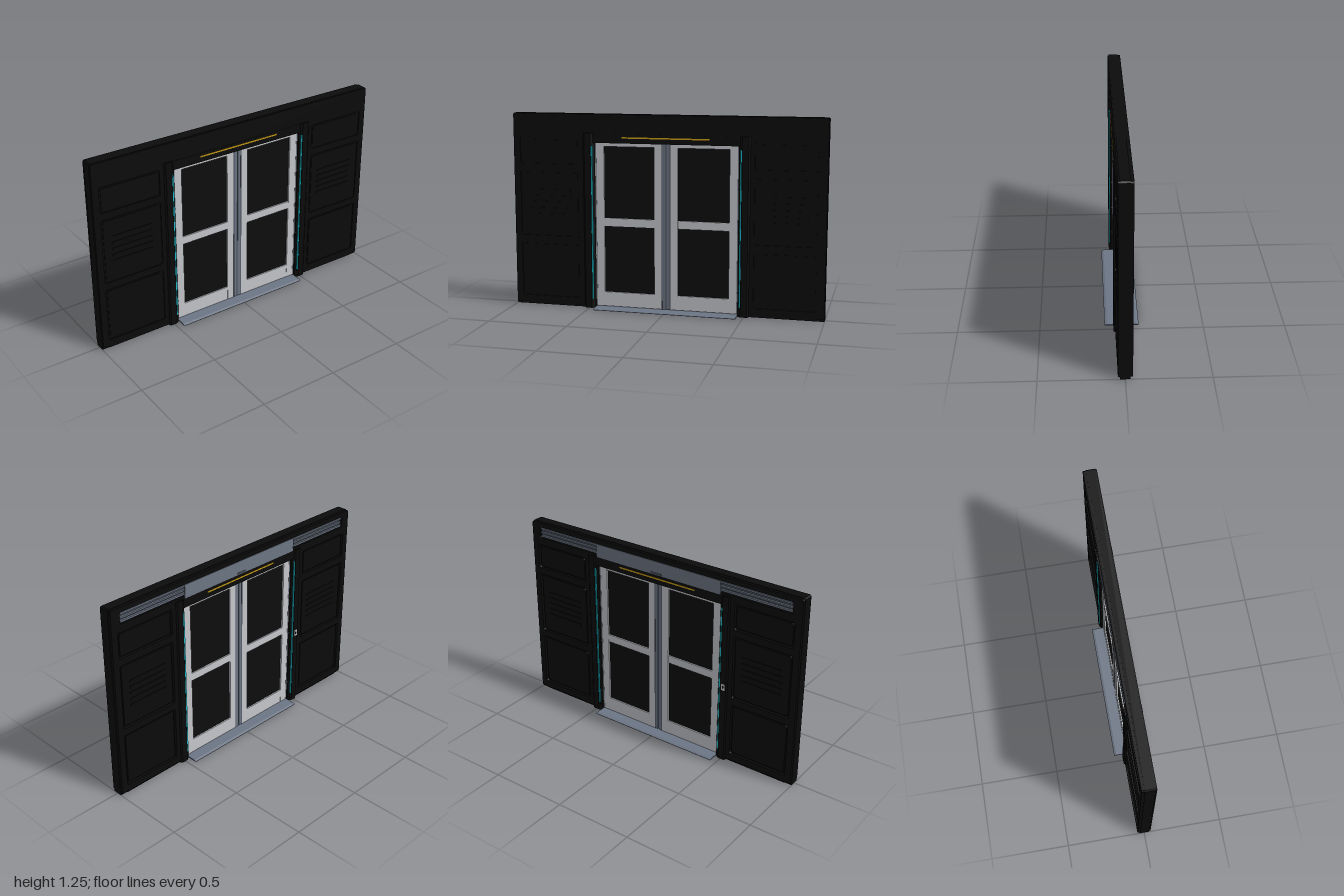
import * as THREE from 'three';

const mat = (name, color, side = THREE.FrontSide) => {
  const m = new THREE.MeshStandardMaterial({ color, side });
  m.name = name;
  return m;
};

export function createModel() {
  const root = new THREE.Group();
  root.name = 'slidingDoorWall';
  const black = mat('black wall', 0x0b0b0b);
  const glass = mat('dark glass', 0x0d0d0e);
  const silver = mat('silver frame', 0xc4c6ca);
  const slate = mat('slate metal', 0x6c7584);
  const darkSlate = mat('dark slate', 0x474d58);
  const cyan = mat('cyan light', 0x18bccb);
  const gold = mat('gold light', 0xcfa215);

  const add = (name, geo, m, parent = root) => {
    const mesh = new THREE.Mesh(geo, m);
    mesh.name = name;
    parent.add(mesh);
    return mesh;
  };
  // Box given by its extents
  const box = (name, m, x0, x1, y0, y1, z0, z1, parent = root) => {
    const b = add(name, new THREE.BoxGeometry(Math.abs(x1 - x0), y1 - y0, Math.abs(z1 - z0)), m, parent);
    b.position.set((x0 + x1) / 2, (y0 + y1) / 2, (z0 + z1) / 2);
    return b;
  };
  const rectPath = (x0, x1, y0, y1, Type = THREE.Path) => {
    const c = 0.008, p = new Type();
    p.moveTo(x0 + c, y0);
    [[x1 - c, y0], [x1, y0 + c], [x1, y1 - c], [x1 - c, y1], [x0 + c, y1], [x0, y1 - c], [x0, y0 + c]]
      .forEach(([x, y]) => p.lineTo(x, y));
    p.closePath();
    return p;
  };
  // Wall outline with the doorway notched out
  const wallShape = (inset) => {
    const s = new THREE.Shape(), e = 1 - inset, t = 1.245 - inset;
    s.moveTo(-e, 0.015);
    [[-0.47, 0.015], [-0.47, 1.065], [0.47, 1.065], [0.47, 0.015], [e, 0.015], [e, t - 0.008],
      [e - 0.008, t], [-e + 0.008, t], [-e, t - 0.008]].forEach(([x, y]) => s.lineTo(x, y));
    s.closePath();
    return s;
  };
  const extrude = (shape, depth) => new THREE.ExtrudeGeometry(shape, { depth, bevelEnabled: false });

  // Wall core, with a slimmer skin on each face that carries the panel openings
  const core = add('wallCore', extrude(wallShape(0), 0.06), black);
  core.position.z = -0.026;
  const rows = [[0.06, 0.415], [0.46, 0.88], [0.925, 1.09]];
  [1, -1].forEach((f) => {
    const skin = wallShape(0.003);
    [-1, 1].forEach((s) => {
      const [a, b] = s > 0 ? [0.56, 0.955] : [-0.955, -0.56];
      rows.forEach(([y0, y1]) => skin.holes.push(rectPath(a, b, y0, y1)));
      if (f < 0) {
        const [c, d] = s > 0 ? [0.45, 0.935] : [-0.935, -0.45];
        skin.holes.push(rectPath(c, d, 1.14, 1.212));
      }
    });
    const depth = f > 0 ? 0.008 : 0.018;
    const m = add(f > 0 ? 'frontSkin' : 'backSkin', extrude(skin, depth), black);
    m.position.z = f > 0 ? 0.034 : -0.044;
  });

  [-1, 1].forEach((s) => {
    const side = new THREE.Group();
    side.name = s > 0 ? 'leftSide' : 'rightSide';
    root.add(side);
    [1, -1].forEach((f) => {
      // Inset panels, with louvres on the middle one
      rows.forEach(([y0, y1]) => {
        const a = s * 0.572, b = s * 0.943;
        const p = add('wallPanel', extrude(rectPath(Math.min(a, b), Math.max(a, b), y0 + 0.012, y1 - 0.012, THREE.Shape), 0.014), black, side);
        p.position.z = f > 0 ? 0.024 : -0.038;
      });
      for (let i = 0; i < 5; i++) {
        box('louvre', black, s * 0.62, s * 0.89, 0.59 + i * 0.04, 0.602 + i * 0.04, f * 0.036, f * 0.042, side);
      }
      // Light strip on the jamb chamfer
      const strip = box('jambLight', cyan, s * 0.4705, s * 0.4805, 0.06, 1.045, f * 0.043, f * 0.051, side);
      strip.scale.z = 0.8;
    });

    // Chamfered jamb, drawn as a plan section and raised
    const sec = new THREE.Shape();
    [[0.46, -0.036], [0.482, -0.052], [0.522, -0.052], [0.532, -0.043], [0.532, 0.043], [0.522, 0.052],
      [0.482, 0.052], [0.46, 0.036]].forEach(([x, z], i) => (i ? sec.lineTo(s * x, z) : sec.moveTo(s * x, z)));
    sec.closePath();
    const jamb = add('jamb', extrude(sec, 1.125), black, side);
    jamb.rotation.x = -Math.PI / 2;

    // Screws on the jamb reveal
    [0.15, 0.34, 0.53, 0.8].forEach((y) => [1, -1].forEach((f) => {
      const screw = add('screw', new THREE.CylinderGeometry(0.005, 0.005, 0.003, 8), darkSlate, side);
      screw.rotation.z = Math.PI / 2;
      screw.position.set(s * 0.459, y, f * 0.031);
    }));

    // End foot and floor guide below the wall
    box('endFoot', black, s * 0.955, s, 0, 0.016, -0.03, 0.03, side);
    box('floorGuide', black, s * 0.532, s * 0.955, 0.002, 0.016, -0.036, 0.036, side);
    box('guidePlate', darkSlate, s * 0.535, s * 0.95, 0, 0.002, -0.03, 0.03, side);

    // Door track in the slot on the back
    box('trackBase', darkSlate, s * 0.45, s * 0.93, 1.145, 1.208, -0.029, -0.025, side);
    [[1.146, 1.158], [1.17, 1.18], [1.196, 1.207]].forEach(([y0, y1]) =>
      box('trackRail', slate, s * 0.45, s * 0.928, y0, y1, -0.041, -0.028, side));

    // Door leaf
    const door = new THREE.Group();
    door.name = s > 0 ? 'leftDoor' : 'rightDoor';
    root.add(door);
    const D = 0.024;
    box('outerStile', silver, s * 0.402, s * 0.46, 0.012, 1.065, -D, D, door);
    box('innerStile', silver, s * 0.027, s * 0.076, 0.012, 1.065, -D, D, door);
    [[0.012, 0.105], [0.535, 0.586], [1.042, 1.065]].forEach(([y0, y1]) =>
      box('doorRail', silver, s * 0.076, s * 0.402, y0, y1, -D + 0.001, D - 0.001, door));
    box('doorGlass', glass, s * 0.07, s * 0.408, 0.1, 1.05, -0.014, 0.014, door);
    box('meetingEdge', slate, s * 0.004, s * 0.027, 0.012, 1.065, -D + 0.002, D - 0.002, door);
    [1, -1].forEach((f) => {
      box('stileGroove', slate, s * 0.452, s * 0.455, 0.012, 1.065, f * D, f * (D + 0.001), door);
      box('edgeGroove', darkSlate, s * 0.024, s * 0.029, 0.012, 1.065, f * D, f * (D + 0.001), door);
    });
  });
  box('centreSeal', darkSlate, -0.005, 0.005, 0.012, 1.065, -0.018, 0.018);

  // Header above the doors with a light bar on each face
  box('header', black, -0.462, 0.462, 1.065, 1.122, -0.044, 0.044);
  [1, -1].forEach((f) => box('headerLight', gold, -0.28, 0.28, 1.096, 1.105, f * 0.043, f * 0.046));

  // Track cover on the back
  box('trackCover', slate, -0.46, 0.46, 1.125, 1.212, -0.047, -0.04);
  box('coverLatch', darkSlate, -0.04, 0.04, 1.128, 1.14, -0.049, -0.046);

  // Lock plate on the back of the right jamb
  box('lockPlate', silver, -0.515, -0.49, 0.5, 0.543, -0.054, -0.051);
  box('lockSlot', black, -0.507, -0.498, 0.514, 0.53, -0.056, -0.053);

  // Door sill with ramped edges
  const sill = new THREE.Shape();
  [[-0.105, 0], [0.105, 0], [0.105, 0.002], [0.09, 0.008], [-0.09, 0.008], [-0.105, 0.002]]
    .forEach(([z, y], i) => (i ? sill.lineTo(z, y) : sill.moveTo(z, y)));
  sill.closePath();
  const sillMesh = add('sill', extrude(sill, 0.92), slate);
  sillMesh.rotation.y = Math.PI / 2;
  sillMesh.position.x = -0.46;

  return root;
}
